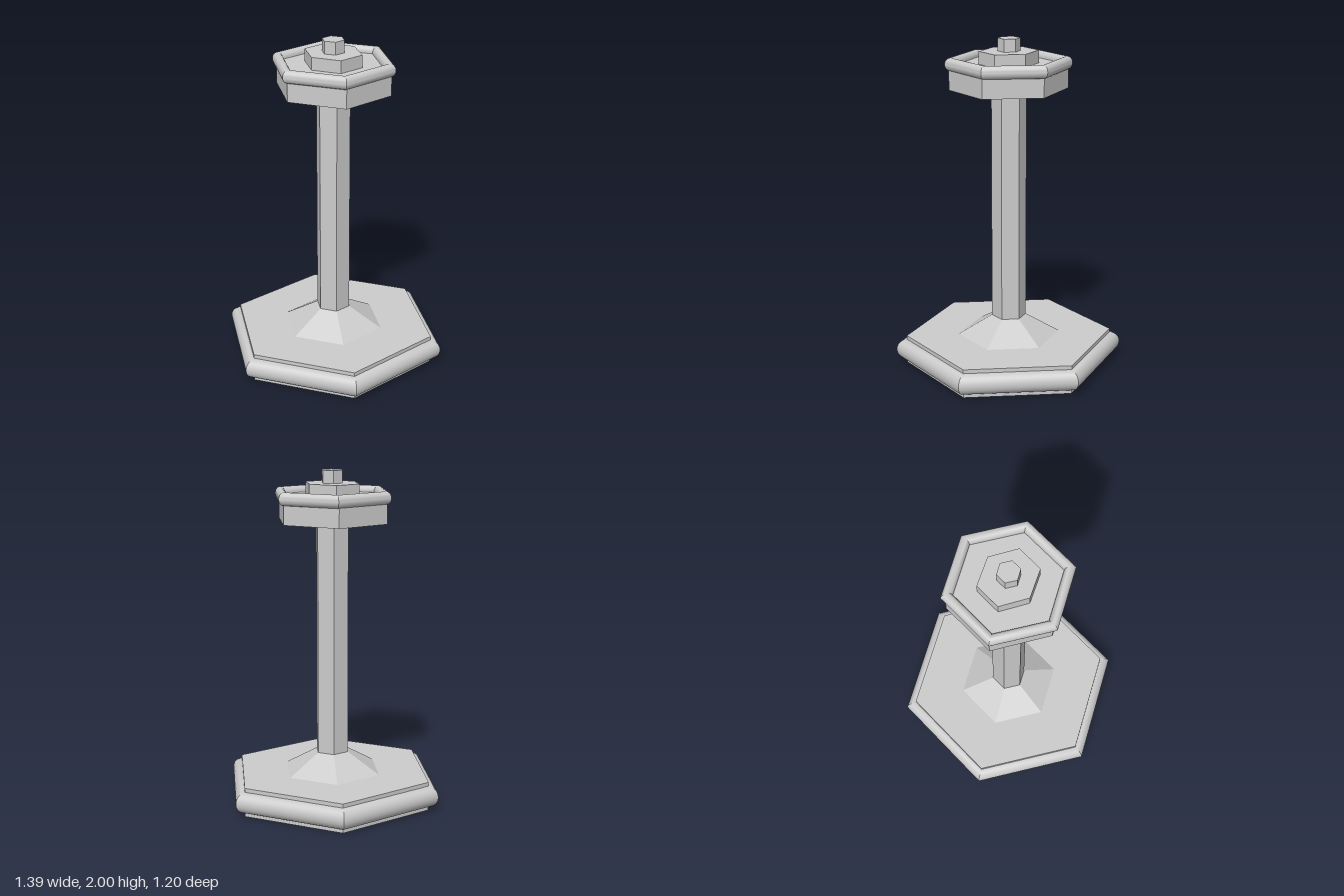
import * as THREE from 'three';
import { toCreasedNormals } from 'three/addons/utils/BufferGeometryUtils.js';

export function createModel() {
  const model = new THREE.Group();
  const material = new THREE.MeshStandardMaterial({ color: 0xcccccc });

  const add = (name, geometry) => {
    const mesh = new THREE.Mesh(geometry, material);
    mesh.name = name;
    model.add(mesh);
  };

  // Six-sided prism or frustum with corners on the x axis
  const hexPart = (name, bottomRadius, topRadius, y0, y1, depth = 1) => {
    const g = new THREE.CylinderGeometry(topRadius, bottomRadius, y1 - y0, 6);
    g.rotateY(Math.PI / 6).scale(1, 1, depth).translate(0, (y0 + y1) / 2, 0);
    add(name, toCreasedNormals(g, 0.4));
  };

  // Hexagonal ring with a round section, mitred at the corners
  const hexRing = (name, radius, tube, y, stretch = 1) => {
    const g = new THREE.TorusGeometry(radius, tube, 24, 6);
    g.rotateX(Math.PI / 2).scale(1, stretch, 1).translate(0, y, 0);
    add(name, toCreasedNormals(g, 0.6));
  };

  // Foot
  hexPart('base', 0.63, 0.63, 0, 0.175);
  hexRing('baseRim', 0.63, 0.063, 0.088);
  hexPart('columnFoot', 0.31, 0.104, 0.175, 0.295);

  // Shaft
  hexPart('column', 0.104, 0.104, 0.295, 1.7);

  // Head with its rim and stepped cap
  hexPart('head', 0.342, 0.342, 1.7, 1.85, 1.035);
  hexRing('headRim', 0.34, 0.034, 1.85, 1.13);
  hexPart('cap', 0.163, 0.163, 1.85, 1.925, 1.11);
  hexPart('capTip', 0.067, 0.067, 1.925, 2);

  return model;
}
